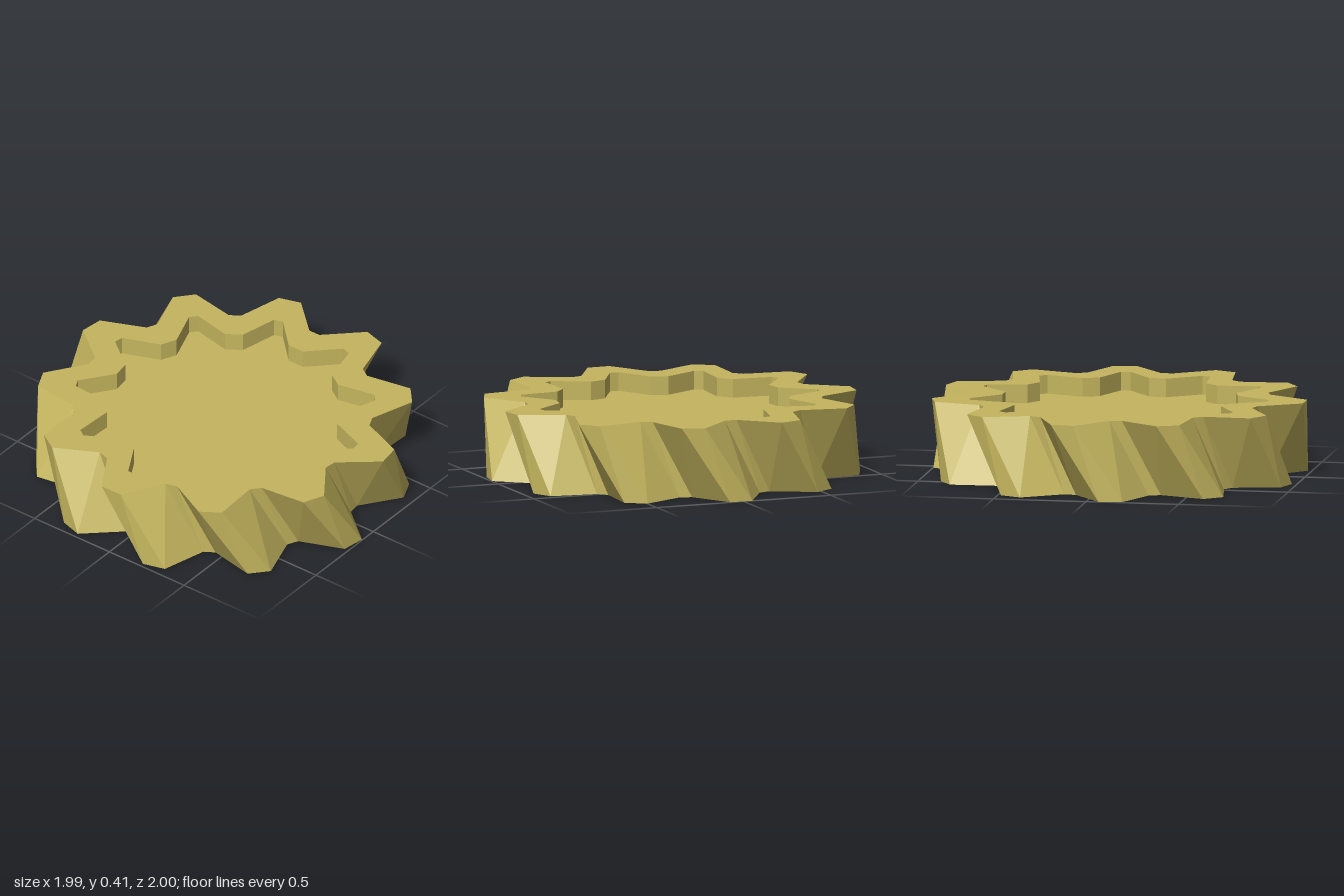
import * as THREE from 'three';

const TEETH = 11, HEIGHT = 0.405, RECESS = 0.1;

// Closed toothed outline as [x, z] pairs; angles in degrees from +z towards +x
function outline(rootR, tipR, rootHalf, tipHalf, turn) {
  const points = [];
  for (let i = 0; i < TEETH; i++) {
    const mid = turn + (i * 360) / TEETH;
    for (const [r, off] of [[rootR, -rootHalf], [tipR, -tipHalf], [tipR, tipHalf], [rootR, rootHalf]]) {
      const a = THREE.MathUtils.degToRad(mid + off);
      points.push([r * Math.sin(a), r * Math.cos(a)]);
    }
  }
  return points;
}
const outer = (turn) => outline(0.8, 1, 14, 3.6, turn);
const inner = (turn) => outline(0.628, 0.803, 12, 1.8, turn);

// Wall between two matching outlines
function wall(low, y0, high, y1, inward = false) {
  const pos = [];
  for (let i = 0; i < low.length; i++) {
    const j = (i + 1) % low.length;
    const bl = [low[i][0], y0, low[i][1]], br = [low[j][0], y0, low[j][1]];
    const tl = [high[i][0], y1, high[i][1]], tr = [high[j][0], y1, high[j][1]];
    const tris = [[bl, br, tr], [bl, tr, tl]];
    for (const t of tris) pos.push(...(inward ? t.reverse() : t).flat());
  }
  const g = new THREE.BufferGeometry();
  g.setAttribute('position', new THREE.Float32BufferAttribute(pos, 3));
  g.computeVertexNormals();
  return g;
}

// Flat horizontal face, facing up (dir 1) or down (dir -1)
function face(points, hole, y, dir) {
  const flat = (list) => list.map(([x, z]) => new THREE.Vector2(x, -z * dir));
  const shape = new THREE.Shape(flat(points));
  if (hole) shape.holes.push(new THREE.Path(flat(hole)));
  return new THREE.ShapeGeometry(shape).rotateX((-dir * Math.PI) / 2).translate(0, y, 0);
}

export function createModel() {
  const group = new THREE.Group();
  group.name = 'helicalGear';
  const brass = new THREE.MeshStandardMaterial({ color: 0xc4b55e, flatShading: true });
  brass.name = 'brass';
  const add = (name, geometry) => {
    const mesh = new THREE.Mesh(geometry, brass);
    mesh.name = name;
    group.add(mesh);
  };

  // Slanted teeth: the lower outline is turned against the upper one
  const topOuter = outer(0.6), bottomOuter = outer(15.6);
  const topInner = inner(0), bottomInner = inner(15);
  add('teeth', wall(bottomOuter, 0, topOuter, HEIGHT));

  // Upper rim and recess
  add('topRim', face(topOuter, topInner, HEIGHT, 1));
  add('topRecessWall', wall(topInner, HEIGHT - RECESS, topInner, HEIGHT, true));
  add('topRecessFloor', face(topInner, null, HEIGHT - RECESS, 1));

  // Lower rim and recess
  add('bottomRim', face(bottomOuter, bottomInner, 0, -1));
  add('bottomRecessWall', wall(bottomInner, 0, bottomInner, RECESS, true));
  add('bottomRecessFloor', face(bottomInner, null, RECESS, -1));

  return group;
}
